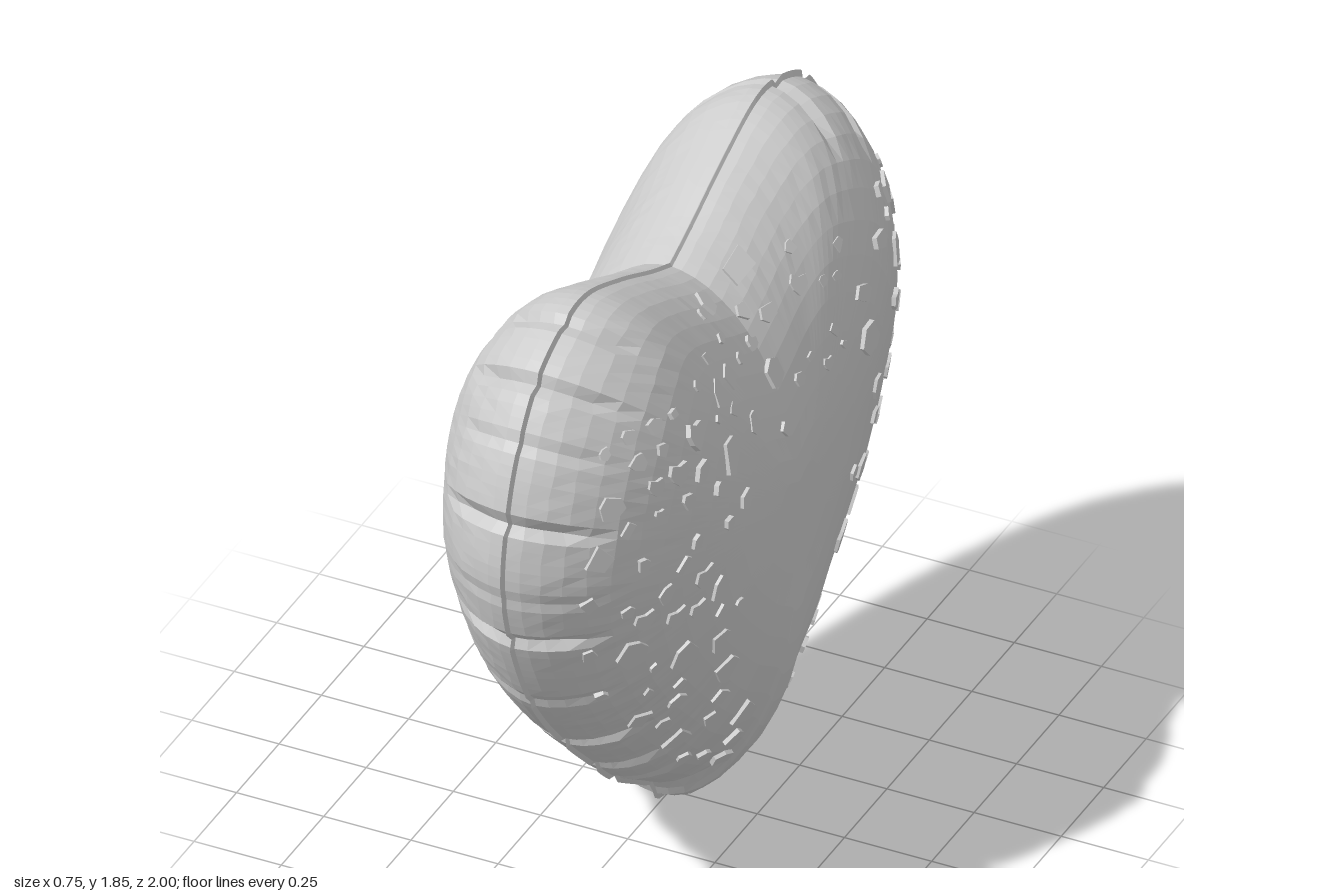
import * as THREE from 'three';

const N = 192;          // points around the outline
const RINGS = 14;       // rings from the middle to the seam
const CY = 1.0;         // height of the middle of the heart
const BODY = 0.984;     // inflated body ends here, the flat seam lies outside
const THICK = 0.372, ROUND = 0.6;

function seeded(seed) {
  return () => {
    seed = (seed * 16807) % 2147483647;
    return seed / 2147483647;
  };
}

// Half outline from the notch round to the tip, as (z, y)
const half = new THREE.SplineCurve([
  [0, 1.64], [0.12, 1.69], [0.3, 1.775], [0.5, 1.85], [0.64, 1.835], [0.8, 1.75],
  [0.92, 1.58], [0.98, 1.4], [1, 1.22], [0.95, 1.02], [0.86, 0.82], [0.76, 0.67],
  [0.62, 0.51], [0.48, 0.37], [0.34, 0.235], [0.13, 0.09], [0.08, 0.02], [0, 0],
].map(([z, y]) => new THREE.Vector2(z, y))).getSpacedPoints(N / 2);
const outline = [
  ...half,
  ...half.slice(1, -1).reverse().map(p => new THREE.Vector2(-p.x, p.y)),
];
const rim = outline.map(p => new THREE.Vector2(p.x * BODY, CY + (p.y - CY) * BODY));

// Distance from (z, y) to the rim of the body
function rimDistance(z, y) {
  let best = Infinity;
  for (let i = 0; i < N; i++) {
    const a = rim[i], b = rim[(i + 1) % N];
    const dx = b.x - a.x, dy = b.y - a.y;
    const t = THREE.MathUtils.clamp(((z - a.x) * dx + (y - a.y) * dy) / (dx * dx + dy * dy), 0, 1);
    best = Math.min(best, Math.hypot(z - a.x - t * dx, y - a.y - t * dy));
  }
  return best;
}

// Inflated half thickness, rising steeply from the rim and flat in the middle
function bulge(z, y) {
  const k = 1 - Math.min(rimDistance(z, y) / ROUND, 1);
  return THICK * Math.pow(1 - k * k, 0.54);
}

// Pinched folds across the seam, as [height, depth] down the front and back edges
const FRONT_FOLDS = [[1.84, 0.6], [1.76, 0.8], [1.62, 0.3], [1.42, 1], [1.2, 0.2], [1.03, 0.9],
  [0.78, 0.4], [0.53, 1], [0.33, 0.8], [0.24, 0.7], [0.08, 0.3]];
const BACK_FOLDS = [[1.84, 0.7], [1.75, 0.9], [1.62, 0.5], [1.44, 0.7], [1.22, 0.4], [1.05, 0.9],
  [0.82, 0.4], [0.62, 0.8], [0.37, 0.9], [0.22, 0.5]];

function makeFolds() {
  const fold = new Array(N).fill(0);
  const add = (list, mirror) => {
    for (const [y, depth] of list) {
      const crown = Math.round(half.length * 0.21); // no folds between the notch and here
      let at = crown;
      for (let i = crown; i < half.length; i++) {
        if (Math.abs(half[i].y - y) < Math.abs(half[at].y - y)) at = i;
      }
      fold[mirror ? N - at : at] = depth;
    }
  };
  add(FRONT_FOLDS, false);
  add(BACK_FOLDS, true);
  return fold;
}

// One inflated skin, uneven near the rim; sign +1 is the left side, -1 the right
function skinGeometry(sign, folds) {
  const rand = seeded(sign > 0 ? 311 : 733);
  const heights = [], pos = [], index = [];
  const radius = j => BODY * Math.sin((j / RINGS) * Math.PI / 2);
  for (let j = 0; j <= RINGS; j++) {
    heights.push(outline.map(p => bulge(p.x * radius(j), CY + (p.y - CY) * radius(j))));
  }
  for (let j = 0; j <= RINGS + 1; j++) {
    const seam = j > RINGS;
    const s = seam ? 1 : radius(j);
    for (let i = 0; i < N; i++) {
      const p = outline[i];
      let x = 0;
      if (!seam) {
        // soften the ridges by averaging along the ring, more so in the middle
        const w = Math.round(THREE.MathUtils.lerp(12, 4, s));
        let sum = 0;
        for (let k = -w; k <= w; k++) sum += heights[j][(i + k + N) % N];
        x = Math.max(sum / (2 * w + 1), 0.006);
        if (j < RINGS) x += (rand() - 0.5) * 0.005 * THREE.MathUtils.smoothstep(s, 0.6, 0.9);
      }
      const edge = THREE.MathUtils.smoothstep(s, 0.85, 0.95) * folds[i];
      x *= 1 - 0.16 * edge;
      const r = s * (1 - 0.024 * edge);
      pos.push(sign * x, CY + (p.y - CY) * r, p.x * r);
    }
  }
  const tri = (a, b, c) => (sign > 0 ? index.push(a, b, c) : index.push(a, c, b));
  for (let j = 0; j <= RINGS; j++) {
    for (let i = 0; i < N; i++) {
      const n = (i + 1) % N;
      const a = j * N + i, b = a + N, c = (j + 1) * N + n, d = j * N + n;
      tri(a, b, c);
      if (j > 0) tri(a, c, d);
    }
  }
  const g = new THREE.BufferGeometry();
  g.setAttribute('position', new THREE.Float32BufferAttribute(pos, 3));
  g.setIndex(index);
  g.computeVertexNormals();
  return g;
}

// A thin flake with an uneven edge of four to six sides, or a small heart
function flakeGeometry(size, rand) {
  const heart = rand() < 0.15, pts = [];
  const sides = heart ? 8 : 4 + Math.floor(rand() * 3);
  const heartRadii = [1, 1.1, 0.55, 1.1, 1, 0.85, 1.05, 0.85];
  for (let i = 0; i < sides; i++) {
    const a = ((i + (heart ? 0 : (rand() - 0.5) * 0.6)) / sides) * Math.PI * 2;
    const r = size * (heart ? heartRadii[i] : 0.8 + rand() * 0.4);
    pts.push(new THREE.Vector2(Math.cos(a) * r, Math.sin(a) * r));
  }
  return new THREE.ExtrudeGeometry(new THREE.Shape(pts), { depth: 0.014, bevelEnabled: false });
}

export function createModel() {
  const model = new THREE.Group();
  model.name = 'heartBalloon';
  const skinMat = new THREE.MeshStandardMaterial({ color: 0xcccccc, flatShading: true, side: THREE.DoubleSide });
  const flakeMat = new THREE.MeshStandardMaterial({ color: 0xcccccc, flatShading: true });

  // Two skins joined at the seam
  const folds = makeFolds();
  for (const [name, sign] of [['leftSkin', 1], ['rightSkin', -1]]) {
    const skin = new THREE.Mesh(skinGeometry(sign, folds), skinMat);
    skin.name = name;
    model.add(skin);
  }

  // Flakes scattered over the left face, leaving the middle mostly clear
  const flakes = new THREE.Group();
  flakes.name = 'flakes';
  const rand = seeded(977), placed = [];
  for (let tries = 0; tries < 1500 && placed.length < 120; tries++) {
    const p = outline[Math.floor(rand() * N)];
    const s = 0.3 + 0.6 * Math.sqrt(rand());
    const z = p.x * s, y = CY + (p.y - CY) * s;
    const size = 0.014 + rand() * 0.036;
    const clear = Math.hypot(z, y - 0.8) < 0.34 || y > 1.62 || (Math.abs(z) < 0.1 && y < 0.7);
    if (clear || placed.some(q => Math.hypot(q.z - z, q.y - y) < q.size + size + 0.015)) continue;
    placed.push({ z, y, size });
    const e = 0.02, x = bulge(z, y);
    const normal = new THREE.Vector3(1,
      -(bulge(z, y + e) - bulge(z, y - e)) / (2 * e),
      -(bulge(z + e, y) - bulge(z - e, y)) / (2 * e)).normalize();
    const flake = new THREE.Mesh(flakeGeometry(size, rand), flakeMat);
    flake.name = 'flake';
    flake.quaternion.setFromUnitVectors(new THREE.Vector3(0, 0, 1), normal);
    flake.position.set(x, y, z).addScaledVector(normal, -0.006);
    flakes.add(flake);
  }
  model.add(flakes);
  return model;
}
